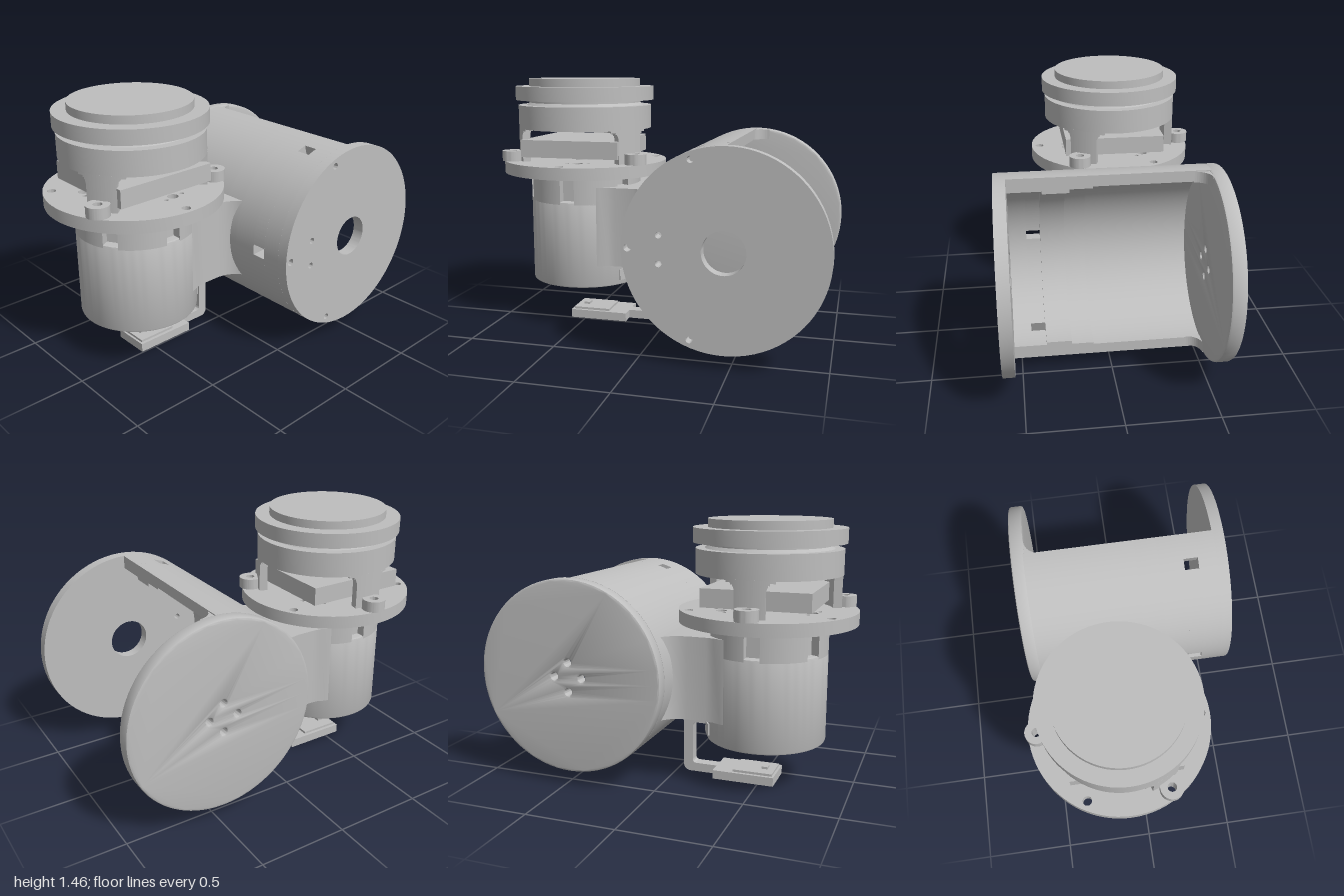
import * as THREE from 'three';
import { toCreasedNormals } from 'three/addons/utils/BufferGeometryUtils.js';

const DEG = Math.PI / 180;
const CX = -0.113, CZ = 0.516;   // tower axis
const DY = 0.615, DZ = -0.465;   // drum axis

export function createModel() {
  const model = new THREE.Group();
  model.name = 'motorJoint';
  const grey = new THREE.MeshStandardMaterial({ color: 0xbebebe });
  grey.name = 'greyMetal';

  const add = (name, geo, x = 0, y = 0, z = 0, parent = model) => {
    const mesh = new THREE.Mesh(geo, grey);
    mesh.name = name;
    mesh.position.set(x, y, z);
    parent.add(mesh);
    return mesh;
  };
  const group = (name) => {
    const g = new THREE.Group();
    g.name = name;
    model.add(g);
    return g;
  };

  // Flat outlines
  const disc = (r, holes = []) => {
    const s = new THREE.Shape().absarc(0, 0, r, 0, Math.PI * 2, false);
    for (const [x, y, hr] of holes) s.holes.push(new THREE.Path().absarc(x, y, hr, 0, Math.PI * 2, true));
    return s;
  };
  const arc = (ri, ro, a0, a1) => new THREE.Shape()
    .absarc(0, 0, ro, a0 * DEG, a1 * DEG, false)
    .absarc(0, 0, ri, a1 * DEG, a0 * DEG, true);
  const polar = (r, a, hr) => [r * Math.cos(a * DEG), r * Math.sin(a * DEG), hr];

  // Extrusions, upward (shape y is -z) or along x (shape x is -z)
  const extrude = (shape, depth, bevel = 0) => {
    const g = new THREE.ExtrudeGeometry(shape, {
      depth: depth - 2 * bevel, curveSegments: 40, bevelEnabled: bevel > 0,
      bevelSize: bevel, bevelOffset: -bevel, bevelThickness: bevel, bevelSegments: 2,
    });
    g.translate(0, 0, bevel);
    return g;
  };
  const up = (shape, y0, y1, bevel) =>
    toCreasedNormals(extrude(shape, y1 - y0, bevel).rotateX(-Math.PI / 2).translate(0, y0, 0), 0.5);
  const along = (shape, x0, x1, bevel) =>
    toCreasedNormals(extrude(shape, x1 - x0, bevel).rotateY(Math.PI / 2).translate(x0, 0, 0), 0.5);

  // Drum: half shell in rings with stepped inside, slotted between 0.36 and 0.44
  const drum = group('drum');
  const shell = (x0, x1, ri, a0 = 90, a1 = 270) =>
    add('drumShell', along(arc(ri, 0.535, a0, a1), x0, x1), 0, DY, DZ, drum);
  shell(-0.515, 0.1, 0.475);
  shell(0.1, 0.22, 0.465);
  shell(0.22, 0.36, 0.445);
  const cuts = [90, 105.7, 112.3, 176.7, 183.3, 247.7, 254.3, 270];
  for (let i = 0; i < cuts.length; i += 2) shell(0.36, 0.44, 0.46, cuts[i], cuts[i + 1]);
  shell(0.44, 0.545, 0.46);

  // End discs: four small holes on one, open bore on the other
  const four = [0, 90, 180, 270].map((a) => polar(0.082, a, 0.02));
  add('rightEndDisc', along(disc(0.535, four), -0.585, -0.505, 0.012), 0, DY, DZ, drum);
  const bore = [[0, 0, 0.115], [-0.5, 0, 0.02], [-0.335, 0.075, 0.017], [-0.335, -0.075, 0.017],
    [-0.172, 0.465, 0.018], [-0.172, -0.465, 0.018]];
  add('leftEndDisc', along(disc(0.535, bore), 0.54, 0.605), 0, DY, DZ, drum);

  // Rounded corners between shell edge and right end disc
  const corner = new THREE.Shape();
  corner.moveTo(-0.51, 0.46);
  corner.lineTo(-0.425, 0.46);
  corner.lineTo(-0.425, 0.465);
  corner.absarc(-0.425, 0.545, 0.08, -Math.PI / 2, -Math.PI, true);
  corner.lineTo(-0.51, 0.545);
  for (const y of [DY + 0.47, DY - 0.529]) add('shellCorner', up(corner, 0, 0.059), 0, y, 0, drum);

  // Neck joining drum and motor body
  const neck = new THREE.Shape();
  const side = [[0.29, 0.37], [0.285, 0.335], [0.266, 0.29], [0.262, 0.25], [0.262, 0.14],
    [0.27, 0.095], [0.29, 0.055], [0.315, 0.028], [0.34, 0.01]];
  side.forEach(([w, z], i) => (i ? neck.lineTo(w, -z) : neck.moveTo(w, -z)));
  [...side].reverse().forEach(([w, z]) => neck.lineTo(-w, -z));
  add('neck', up(neck, 0.385, 0.845), CX, 0, 0);

  // Motor body: plain below, six slots under the flange
  const tower = group('motorTower');
  tower.position.set(CX, 0, CZ);
  const put = (name, geo, x = 0, y = 0, z = 0) => add(name, geo, x, y, z, tower);
  put('motorBody', up(disc(0.33), 0.255, 0.76, 0.01));
  const slotted = new THREE.Shape();
  for (let a = 0; a < 360; a += 60) {
    slotted.absarc(0, 0, 0.33, (a + 7.4) * DEG, (a + 52.6) * DEG, false);
    for (const b of [51.2, 68.8]) slotted.lineTo(...polar(0.28, a + b).slice(0, 2));
  }
  put('slottedBody', up(slotted, 0.745, 0.912));
  put('bottomHub', up(disc(0.122, four.map(([x, y]) => [x, y, 0.018])), 0.24, 0.257));

  // Flange plate with screw holes
  const holes = [];
  for (let a = 0; a < 360; a += 60) holes.push(polar(0.437, a, 0.024));
  for (const a of [-110, 10, 130]) {
    holes.push(polar(0.275, a, 0.03), polar(0.29, a + 12, 0.012), polar(0.29, a - 12, 0.012));
  }
  put('flange', up(disc(0.485, holes), 0.91, 0.98));

  // Sensor box inside the cage
  put('sensorShaft', new THREE.CylinderGeometry(0.085, 0.085, 0.05, 40), 0, 0.995, 0);
  put('sensorBox', new THREE.BoxGeometry(0.585, 0.1, 0.585), 0, 1.06, 0);

  // Cage legs with screw feet and arched tops
  for (const a of [60, 180, 300]) {
    put('cageLeg', up(arc(0.348, 0.395, a - 12, a + 12), 0.98, 1.175));
    for (let i = 0; i < 5; i++) {
      const t = (i + 1) / 5;
      const w = 12 + 7 * (1 - Math.sqrt(1 - t * t));
      put('legArch', up(arc(0.348, 0.395, a - w, a + w), 1.12 + i * 0.01, 1.13 + i * 0.01));
    }
    const [x, y] = polar(0.437, a);
    put('screwFoot', up(disc(0.062, [[0, 0, 0.024]]), 0.98, 1.04), x, 0, -y);
  }

  // Collar and cap
  const cap = [[0, 1.17], [0.395, 1.17], [0.395, 1.305], [0.345, 1.305], [0.33, 1.32], [0.33, 1.335],
    [0.41, 1.335], [0.41, 1.415], [0.33, 1.415], [0.33, 1.46], [0, 1.46]];
  const capGeo = new THREE.LatheGeometry(cap.map((p) => new THREE.Vector2(...p)), 80);
  put('collarAndCap', toCreasedNormals(capGeo, 0.5));

  // Hooked arm under the body, carrying a small board
  const arm = group('cameraArm');
  add('armSaddle', up(arc(0.31, 0.338, 54, 126), 0.285, 0.35), CX, 0, CZ, arm);
  const hook = new THREE.Shape();
  hook.moveTo(-0.21, 0.35);
  hook.lineTo(-0.08, 0.35);
  hook.absarc(-0.08, 0.31, 0.04, Math.PI / 2, 0, true);
  hook.absarc(-0.08, 0.04, 0.04, 0, -Math.PI / 2, true);
  hook.lineTo(-0.25, 0);
  hook.lineTo(-0.25, 0.05);
  hook.lineTo(-0.115, 0.05);
  hook.absarc(-0.115, 0.07, 0.02, -Math.PI / 2, 0, false);
  hook.absarc(-0.115, 0.275, 0.02, 0, Math.PI / 2, false);
  hook.lineTo(-0.21, 0.295);
  add('armHook', along(hook, -0.145, -0.08), 0, 0, 0, arm);
  add('boardBase', new THREE.BoxGeometry(0.215, 0.05, 0.35), CX, 0.025, 0.415, arm);
  add('board', new THREE.BoxGeometry(0.178, 0.014, 0.225), CX, 0.056, 0.465, arm);
  add('boardChip', new THREE.BoxGeometry(0.045, 0.014, 0.035), CX, 0.069, 0.52, arm);
  return model;
}
